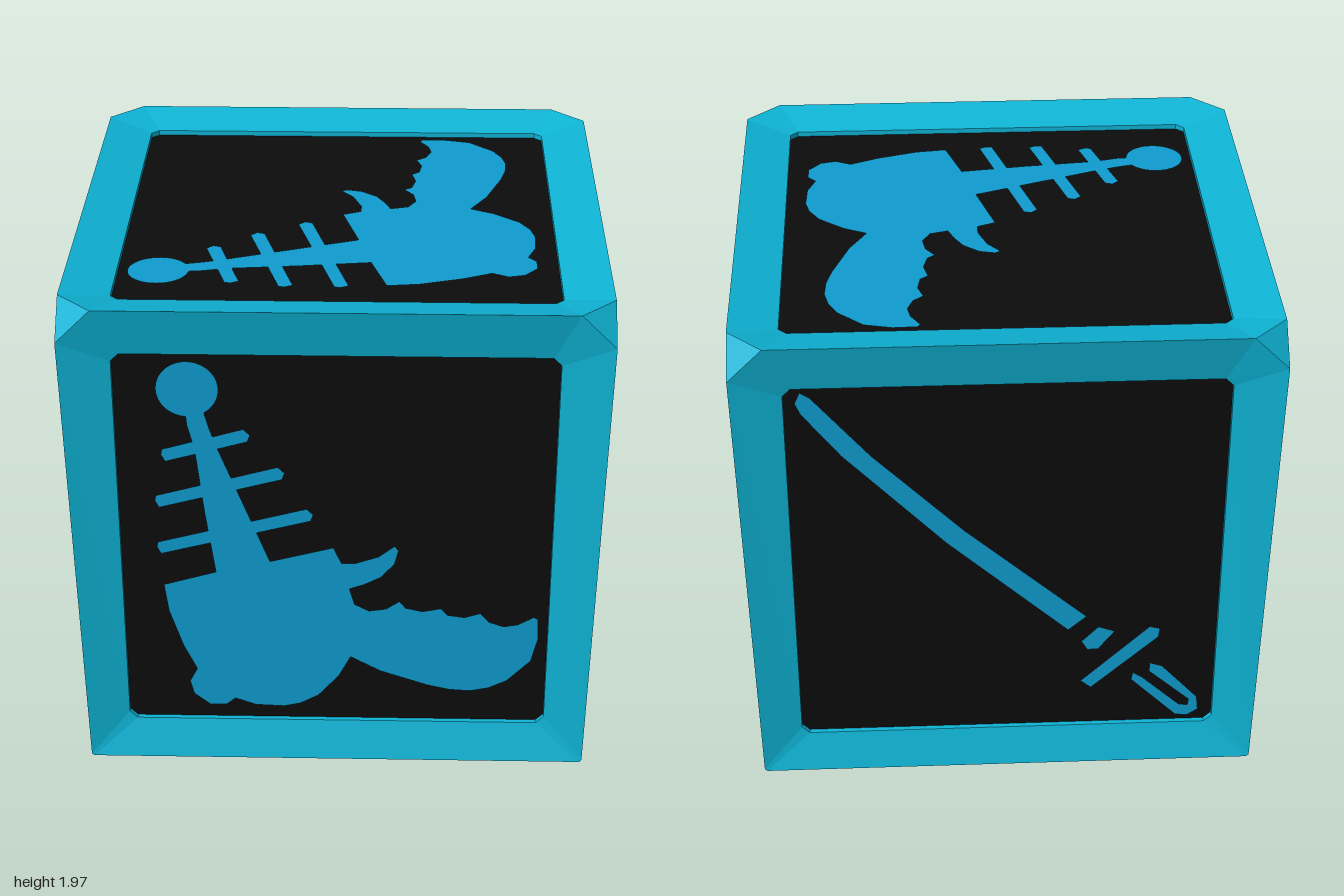
import * as THREE from 'three';

const HALF = 0.985; // half of the height
const SLOPE = 0.04, RECESS = 0.06; // depth of the sloped rim and of the panel

const frameMat = new THREE.MeshStandardMaterial({ color: 0x0eb4d6 });
frameMat.name = 'cyan frame';
const panelMat = new THREE.MeshStandardMaterial({ color: 0x0c0c0c });
panelMat.name = 'black panel';
const emblemMat = new THREE.MeshStandardMaterial({ color: 0x0f9ccf });
emblemMat.name = 'blue emblem';

// Side walls lean in slightly towards the bottom
const wall = (v) => 1 - 0.035 * Math.max(0, (0.855 - v) / 1.84);
const flat = () => HALF;

// Rectangle with cut corners, counter-clockwise from the lower right
function octagon(h0, h1, v0, v1, c0, c1) {
  const right = [[h0 - c0, v0], [h0, v0 + c0], [h1, v1 - c1], [h1 - c1, v1]];
  return [...right, ...right.map(([u, v]) => [-u, v]).reverse()];
}

function flatGeometry(points) {
  const g = new THREE.BufferGeometry();
  g.setAttribute('position', new THREE.Float32BufferAttribute(points.flat(), 3));
  g.computeVertexNormals();
  return g;
}

function mesh(name, geometry, material) {
  const m = new THREE.Mesh(geometry, material);
  m.name = name;
  return m;
}

// Flat shapes laid on a face at a given depth
function inlay(shapes, surface, depth, matrix) {
  const g = new THREE.ShapeGeometry(shapes, 24);
  if (matrix) g.applyMatrix4(matrix);
  const p = g.attributes.position;
  for (let i = 0; i < p.count; i++) p.setZ(i, surface(p.getY(i)) - depth);
  g.computeVertexNormals();
  return g;
}

// Sloped rim and short inner wall between the outline and the panel
function rim(outer, inner, surface) {
  const rings = [[outer, 0], [inner, SLOPE], [inner, RECESS]].map(([ring, d]) =>
    ring.map(([u, v]) => [u, v, surface(v) - d]));
  const tris = [];
  for (let r = 0; r < 2; r++) {
    for (let i = 0; i < 8; i++) {
      const j = (i + 1) % 8;
      const [a, b, c, d] = [rings[r][i], rings[r][j], rings[r + 1][j], rings[r + 1][i]];
      tris.push(...a, ...b, ...c, ...a, ...c, ...d);
    }
  }
  return flatGeometry(tris);
}

const poly = (pts) => new THREE.Shape(pts.map(([x, y]) => new THREE.Vector2(x, y - 0.96)));

// Skeleton emblem: round head, spine, slanted ribs, body with hook and notched blade
function skeletonShapes() {
  const head = new THREE.Shape().absarc(-0.54, 1.63 - 0.96, 0.114, 0, Math.PI * 2);
  const spine = poly([[-0.55, 1.55], [-0.485, 1.55], [-0.465, 1.47], [-0.437, 1.385],
    [-0.25, 0.89], [-0.2, 0.8], [-0.45, 0.8], [-0.49, 1.1], [-0.52, 1.38], [-0.545, 1.48]]);
  const ribs = [[-0.64, 1.355, -0.315, 1.44], [-0.67, 1.155, -0.19, 1.28], [-0.67, 0.95, -0.085, 1.1]]
    .map(([x0, y0, x1, y1]) => poly([[x0 + 0.01, y0 - 0.03], [x1 - 0.01, y1 - 0.028], [x1, y1],
      [x1 - 0.025, y1 + 0.025], [x0, y0 + 0.022], [x0 - 0.005, y0]]));
  const body = poly([[-0.25, 0.89], [-0.01, 0.955], [0.02, 0.885],
    // hook
    [0.07, 0.885], [0.16, 0.917], [0.22, 0.965], [0.235, 0.945], [0.22, 0.885], [0.17, 0.825],
    [0.105, 0.79], [0.05, 0.77], [0.07, 0.7],
    // notched blade edge
    [0.125, 0.67], [0.19, 0.68], [0.24, 0.715], [0.265, 0.685], [0.33, 0.67], [0.4, 0.685],
    [0.425, 0.655], [0.49, 0.645], [0.55, 0.665], [0.585, 0.625], [0.64, 0.605], [0.695, 0.615],
    [0.755, 0.65], [0.772, 0.64], [0.775, 0.55], [0.75, 0.445], [0.66, 0.35], [0.59, 0.315],
    [0.52, 0.3], [0.44, 0.305], [0.355, 0.325], [0.17, 0.39], [0.055, 0.455],
    // rounded belly and small bump
    [0.01, 0.365], [-0.07, 0.27], [-0.14, 0.23], [-0.205, 0.215], [-0.315, 0.22], [-0.395, 0.25],
    [-0.43, 0.22], [-0.495, 0.22], [-0.555, 0.27], [-0.57, 0.33], [-0.54, 0.39], [-0.59, 0.5],
    [-0.64, 0.66], [-0.655, 0.78], [-0.455, 0.84]]);
  return [head, spine, ...ribs, body];
}

// Sword emblem: blade, collar, guard and outlined grip
function swordShapes() {
  return [
    poly([[-0.64, 1.64], [-0.61, 1.62], [-0.43, 1.4], [-0.14, 1.1], [0.26, 0.735], [0.2, 0.68],
      [-0.195, 1.05], [-0.52, 1.4], [-0.64, 1.56], [-0.657, 1.6]]),
    poly([[0.245, 0.63], [0.3, 0.69], [0.355, 0.67], [0.3, 0.595], [0.265, 0.595]]),
    poly([[0.245, 0.46], [0.47, 0.685], [0.505, 0.675], [0.5, 0.64], [0.28, 0.43]]),
    poly([[0.475, 0.53], [0.517, 0.515], [0.64, 0.375], [0.646, 0.32], [0.61, 0.295], [0.57, 0.3],
      [0.415, 0.46], [0.42, 0.49], [0.45, 0.47], [0.58, 0.345], [0.61, 0.34], [0.613, 0.365],
      [0.475, 0.493]]),
  ];
}

export function createModel() {
  const model = new THREE.Group();
  model.name = 'framedCube';
  const cube = new THREE.Group();
  cube.name = 'cube';
  cube.position.y = HALF;
  model.add(cube);

  const P = Math.PI;
  const sideRim = octagon(0.965, 1, -HALF, HALF, 0.01, 0.13);
  const topRim = octagon(1, 1, -1, 1, 0.13, 0.13);
  const bottomRim = octagon(0.965, 0.965, -0.965, 0.965, 0.01, 0.01);
  const panel = (h, v0, v1) => octagon(h, h, v0, v1, 0.03, 0.03);
  const skeleton = skeletonShapes(), sword = swordShapes();

  // Each face: rim outline, panel outline, turn, emblem with its spin, size and lift
  const faces = [
    { name: 'front', outer: sideRim, inner: panel(0.81, -0.825, 0.795), turn: [0, 0], art: skeleton, spin: 0, size: 1, lift: -0.025 },
    { name: 'right', outer: sideRim, inner: panel(0.785, -0.795, 0.77), turn: [0, P / 2], art: sword, spin: 0, size: 1, lift: -0.025 },
    { name: 'back', outer: sideRim, inner: panel(0.81, -0.825, 0.795), turn: [0, P], art: sword, spin: 0, size: 1.17, lift: -0.025 },
    { name: 'left', outer: sideRim, inner: panel(0.81, -0.825, 0.795), turn: [0, -P / 2], art: sword, spin: P, size: 1.17, lift: -0.025 },
    { name: 'top', outer: topRim, inner: panel(0.82, -0.82, 0.82), turn: [-P / 2, 0], art: skeleton, spin: P / 2, size: 1, lift: 0, surface: flat },
    { name: 'bottom', outer: bottomRim, inner: panel(0.81, -0.81, 0.81), turn: [P / 2, P], art: skeleton, spin: P / 2, size: 1, lift: 0, surface: flat },
  ];
  for (const f of faces) {
    const surface = f.surface || wall;
    const face = new THREE.Group();
    face.name = f.name + 'Face';
    face.rotation.set(f.turn[0], f.turn[1], 0, 'YXZ');
    const place = new THREE.Matrix4().makeTranslation(0, f.lift, 0)
      .multiply(new THREE.Matrix4().makeRotationZ(f.spin))
      .multiply(new THREE.Matrix4().makeScale(f.size, f.size, 1));
    const panelShape = new THREE.Shape(f.inner.map(([u, v]) => new THREE.Vector2(u, v)));
    face.add(
      mesh(f.name + 'Rim', rim(f.outer, f.inner, surface), frameMat),
      mesh(f.name + 'Panel', inlay(panelShape, surface, RECESS), panelMat),
      mesh(f.name + 'Emblem', inlay(f.art, surface, RECESS - 0.006, place), emblemMat),
    );
    cube.add(face);
  }

  // Cut corners: large at the top, tiny at the bottom
  const topCut = flatGeometry([1, 0.855, 1, 1, HALF, 0.87, 0.87, HALF, 1]);
  const bottomCut = flatGeometry([0.965, -0.975, 0.965, 0.955, -HALF, 0.965, 0.965, -HALF, 0.955]);
  for (let i = 0; i < 4; i++) {
    for (const [name, g] of [['topCorner', topCut], ['bottomCorner', bottomCut]]) {
      const corner = mesh(name, g, frameMat);
      corner.rotation.y = i * P / 2;
      cube.add(corner);
    }
  }
  return model;
}
